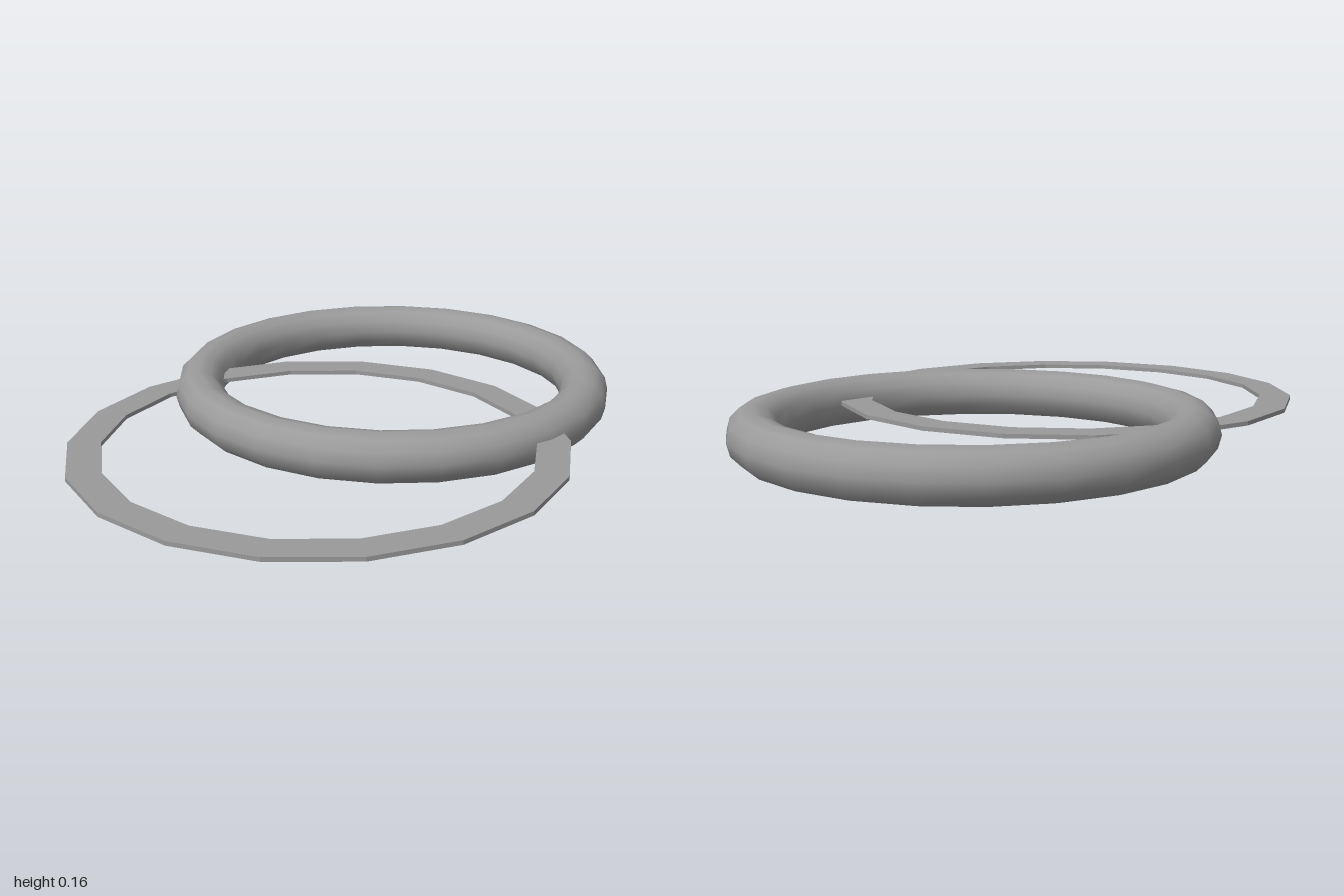
import * as THREE from 'three';

export function createModel() {
  const group = new THREE.Group();
  const color = 0x9a9a9a;

  // Round, smooth ring lying flat on the ground
  const roundRing = new THREE.Mesh(
    new THREE.TorusGeometry(0.641, 0.078, 12, 24).rotateX(-Math.PI / 2),
    new THREE.MeshStandardMaterial({ color })
  );
  roundRing.name = 'roundRing';
  roundRing.position.set(-0.148, 0.078, -0.281);
  group.add(roundRing);

  // Thin, faceted flat band that links through the round ring
  const inner = 0.645, outer = 0.745, half = 0.0065;
  const section = [
    [inner, -half], [outer, -half], [outer, half], [inner, half], [inner, -half],
  ].map(([r, y]) => new THREE.Vector2(r, y));
  const flatRing = new THREE.Mesh(
    new THREE.LatheGeometry(section, 18),
    new THREE.MeshStandardMaterial({ color, flatShading: true })
  );
  flatRing.name = 'flatRing';
  flatRing.position.set(0.133, 0.087, 0.255);
  group.add(flatRing);

  return group;
}
